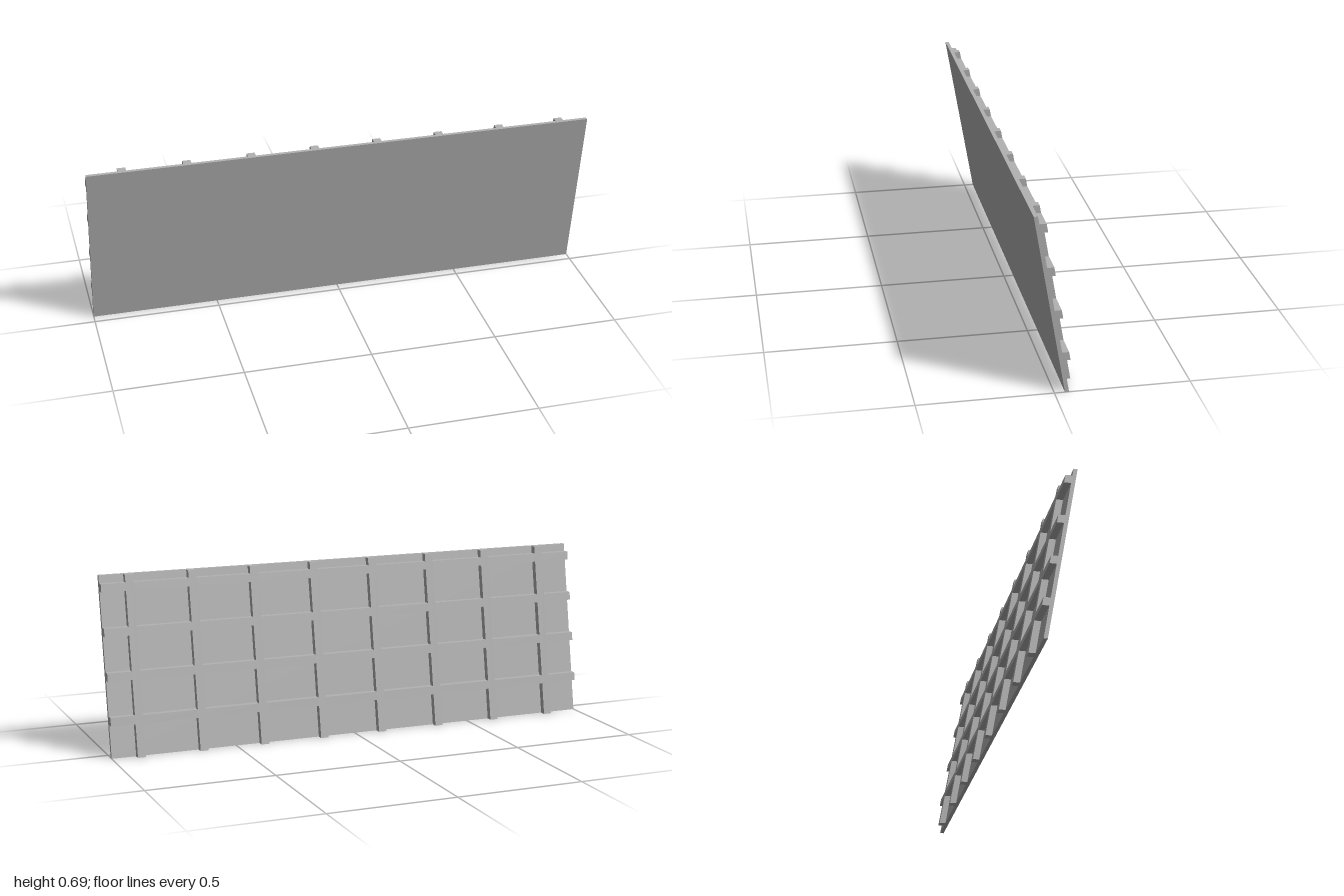
import * as THREE from 'three';

const HEIGHT = 0.688;
const LEAN = 0.118 / HEIGHT; // forward shift in z per unit of height

const grey = new THREE.MeshStandardMaterial({ color: 0xb2b2b2 });
grey.name = 'grey';

// Box spanning the given ranges, sheared forward so its ends stay level
function leaningBox(name, [x0, x1], [y0, y1], [z0, z1]) {
  const geometry = new THREE.BoxGeometry(x1 - x0, y1 - y0, z1 - z0);
  geometry.translate((x0 + x1) / 2, (y0 + y1) / 2, (z0 + z1) / 2);
  const p = geometry.attributes.position;
  for (let i = 0; i < p.count; i++) p.setZ(i, p.getZ(i) + p.getY(i) * LEAN);
  geometry.computeVertexNormals();
  const mesh = new THREE.Mesh(geometry, grey);
  mesh.name = name;
  return mesh;
}

export function createModel() {
  const group = new THREE.Group();
  group.name = 'leaningPanel';
  const ribDepth = [-0.079, -0.0535];

  // Flat front sheet
  group.add(leaningBox('sheet', [-1, 1], [0, HEIGHT], [-0.0535, -0.0385]));

  // Upright ribs on the back, full height
  const ribs = [];
  for (let i = 0; i < 8; i++) ribs.push(-0.862 + i * 0.25);
  for (const x of ribs) {
    group.add(leaningBox('uprightRib', [x - 0.016, x + 0.016], [0, HEIGHT], ribDepth));
  }

  // Cross rails, cut into lengths that fit between the ribs
  const edges = [-1, ...ribs.flatMap((x) => [x - 0.016, x + 0.016]), 1];
  for (let row = 0; row < 4; row++) {
    const y = 0.127 + row * 0.1667;
    const rail = new THREE.Group();
    rail.name = 'crossRail';
    for (let i = 0; i < edges.length; i += 2) {
      rail.add(leaningBox('railLength', [edges[i], edges[i + 1]], [y, y + 0.032], ribDepth));
    }
    group.add(rail);
  }
  return group;
}
